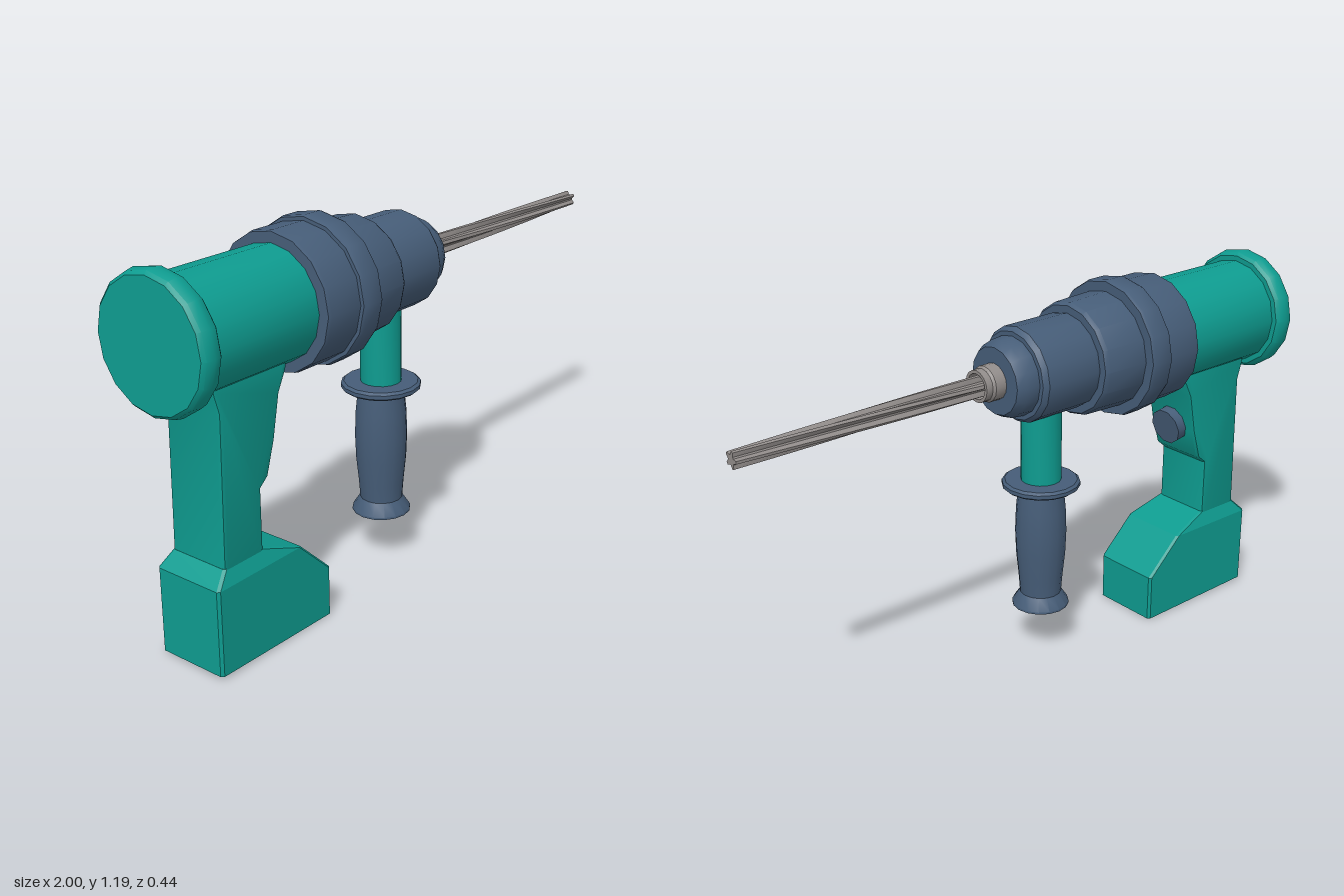
import * as THREE from 'three';
import { toCreasedNormals } from 'three/addons/utils/BufferGeometryUtils.js';
import { ConvexGeometry } from 'three/addons/geometries/ConvexGeometry.js';

const paint = (name, color) => {
  const m = new THREE.MeshStandardMaterial({ color });
  m.name = name;
  return m;
};

export function createModel() {
  const teal = paint('teal plastic', 0x0e9c90);
  const navy = paint('navy rubber', 0x465d78);
  const steel = paint('steel', 0x928d8b);
  const model = new THREE.Group();
  model.name = 'cordlessDrill';

  const add = (parent, name, geometry, material) => {
    const mesh = new THREE.Mesh(geometry, material);
    mesh.name = name;
    parent.add(mesh);
    return mesh;
  };

  // Turned part: points are [radius, position along the axis]
  const turn = (points, sides = 16) => toCreasedNormals(
    new THREE.LatheGeometry(points.map(([r, h]) => new THREE.Vector2(r, h)), sides), 0.6);
  const turnX = (points, sides) => turn(points, sides).rotateZ(-Math.PI / 2);

  // Barrel assembly, leaning very slightly down towards the tip
  const barrel = new THREE.Group();
  barrel.name = 'barrel';
  barrel.position.y = 0.966;
  barrel.rotation.z = -0.0115;
  model.add(barrel);

  add(barrel, 'rearCap', turnX([
    [0, -1], [0.187, -1], [0.197, -0.99], [0.202, -0.965], [0.197, -0.94],
    [0.187, -0.93], [0, -0.93]]), teal);
  add(barrel, 'motorHousing', turnX([[0.17, -0.94], [0.17, -0.53]]), teal);
  add(barrel, 'gearHousing', turnX([
    [0, -0.542], [0.202, -0.542], [0.205, -0.53], [0.205, -0.41],
    [0.216, -0.41], [0.22, -0.4], [0.22, -0.34], [0.216, -0.33],
    [0.185, -0.33], [0.18, -0.185], [0.172, -0.172],
    [0.148, -0.172], [0.15, -0.16], [0.15, 0.03], [0.138, 0.046],
    [0.124, 0.046], [0.12, 0.09], [0.105, 0.117], [0, 0.117]]), navy);
  add(barrel, 'chuck', turnX([
    [0.056, 0.1], [0.056, 0.155], [0.05, 0.163], [0.05, 0.186],
    [0.04, 0.186], [0.036, 0.15], [0, 0.15]]), steel);

  // Fluted bit: a star section, twisted and tapered along its length
  const lobes = 5;
  const star = new THREE.Shape(Array.from({ length: lobes * 4 }, (_, i) => {
    const r = i % 4 < 2 ? 0.034 : 0.02;
    const a = (i / (lobes * 4)) * Math.PI * 2;
    return new THREE.Vector2(r * Math.cos(a), r * Math.sin(a));
  }));
  const bitGeometry = new THREE.ExtrudeGeometry(star, { depth: 0.85, steps: 14, bevelEnabled: false });
  const p = bitGeometry.attributes.position;
  for (let i = 0; i < p.count; i++) {
    const t = p.getZ(i) / 0.85;
    const s = 1 - 0.22 * t, a = t * 1.1;
    const x = p.getX(i) * s, y = p.getY(i) * s;
    p.setXY(i, x * Math.cos(a) - y * Math.sin(a), x * Math.sin(a) + y * Math.cos(a));
  }
  bitGeometry.computeVertexNormals();
  add(barrel, 'drillBit', bitGeometry.rotateY(Math.PI / 2).translate(0.15, 0, 0), steel);

  // Main grip, flared where it meets the barrel
  const gripOutline = new THREE.Shape([
    [-0.87, 0.3], [-0.715, 0.3], [-0.715, 0.505], [-0.685, 0.53], [-0.655, 0.63],
    [-0.63, 0.76], [-0.6, 0.82], [-0.595, 0.87], [-0.885, 0.87], [-0.88, 0.83],
    [-0.862, 0.77]].map(([x, y]) => new THREE.Vector2(x, y)));
  const grip = new THREE.ExtrudeGeometry(gripOutline, {
    depth: 0.176, bevelThickness: 0.013, bevelSize: 0.013, bevelOffset: -0.013, bevelSegments: 2 });
  add(model, 'mainGrip', toCreasedNormals(grip.translate(0, 0, -0.088), 0.6), teal);

  // Trigger button
  const trigger = add(model, 'trigger',
    toCreasedNormals(new THREE.CylinderGeometry(0.062, 0.062, 0.055, 10), 0.7), navy);
  trigger.position.set(-0.648, 0.635, 0);
  trigger.rotation.z = -Math.PI / 2 - 0.2;

  // Battery: stacked rectangles with clipped corners [y, rear x, front x, half width]
  const c = 0.008;
  const corners = [];
  for (const [y0, x0, x1, w] of [
    [0.005, -0.915, -0.455, 0.118], [0.155, -0.915, -0.455, 0.118],
    [0.275, -0.915, -0.58, 0.118], [0.32, -0.87, -0.71, 0.1]]) {
    for (const side of [-1, 1]) {
      for (const [x, inset] of [[x0, c], [x1, -c]]) {
        const y = y0 === 0.005 ? (x === x0 ? 0.01 : 0) : y0;
        corners.push(new THREE.Vector3(x, y, side * (w - c)), new THREE.Vector3(x + inset, y, side * w));
      }
    }
  }
  add(model, 'battery', new ConvexGeometry(corners), teal);

  // Auxiliary handle below the nose
  const handle = new THREE.Group();
  handle.name = 'sideHandle';
  handle.position.x = -0.067;
  model.add(handle);
  add(handle, 'handleStem', turn([[0.064, 0.58], [0.064, 0.85]]), teal);
  add(handle, 'handleFlange', turn([
    [0, 0.573], [0.115, 0.573], [0.124, 0.58], [0.124, 0.592], [0.115, 0.599], [0, 0.599]]), navy);
  add(handle, 'handleGrip', turn([
    [0, 0.16], [0.092, 0.16], [0.092, 0.167], [0.067, 0.205], [0.071, 0.26],
    [0.079, 0.34], [0.082, 0.42], [0.079, 0.5], [0.071, 0.575]]), navy);

  return model;
}
